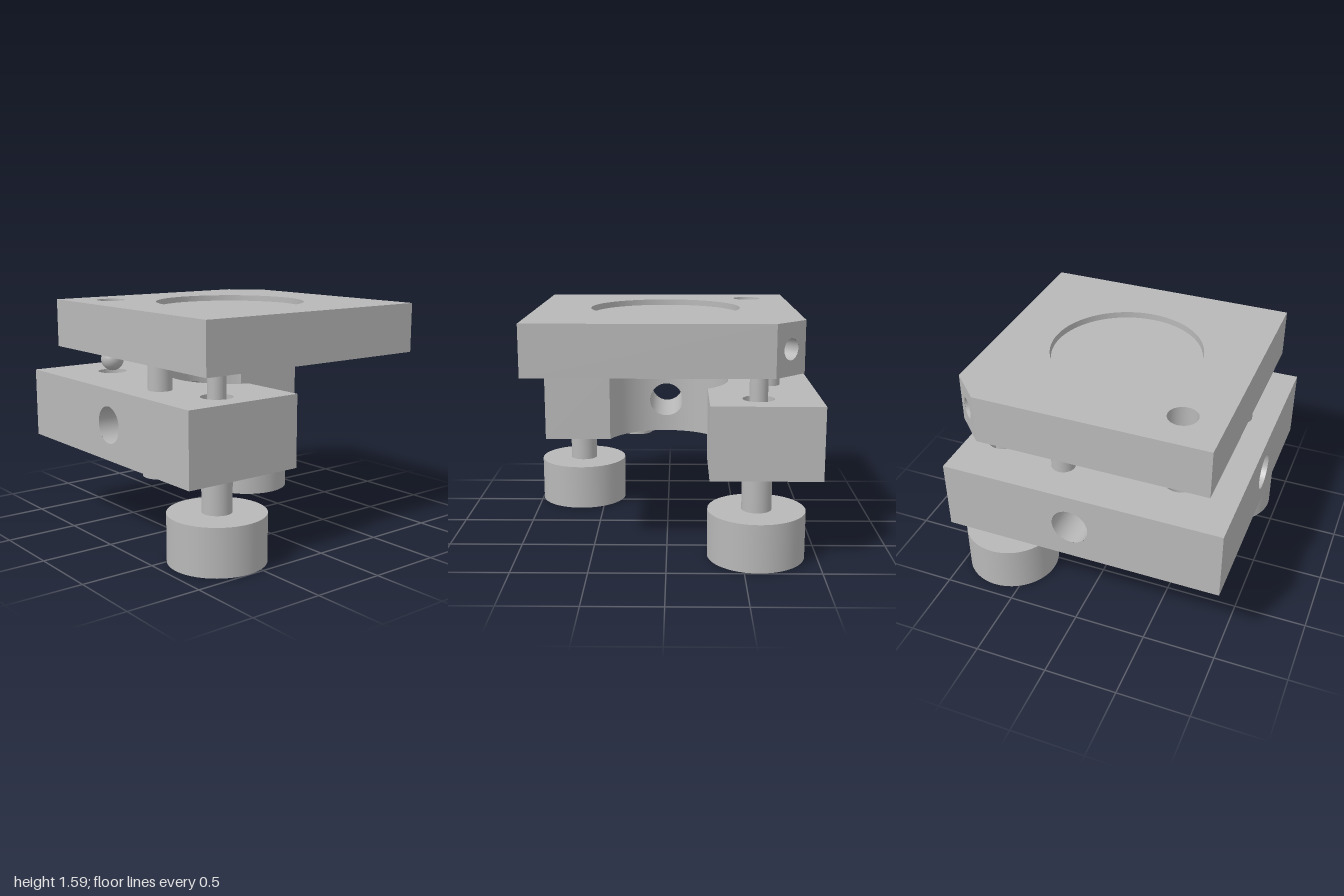
import * as THREE from 'three';
import { mergeGeometries } from 'three/addons/utils/BufferGeometryUtils.js';

const metal = new THREE.MeshStandardMaterial({ color: 0xb8b8b8 });
metal.name = 'metal grey';

const CX = 0.015, CZ = -0.015; // optical axis

function mesh(name, geometry) {
  const m = new THREE.Mesh(geometry, metal);
  m.name = name;
  return m;
}

// Solid upright cylinder between two heights
function rod(name, x, z, r, y0, y1) {
  const g = new THREE.CylinderGeometry(r, r, y1 - y0, 48);
  g.translate(x, (y0 + y1) / 2, z);
  return mesh(name, g);
}

// Inward-facing turned surface; profile runs from top to bottom
function bore(x, z, ...profile) {
  const pts = profile.map(([r, y]) => new THREE.Vector2(r, y));
  return new THREE.LatheGeometry(pts, 64).translate(x, 0, z);
}

// Horizontal face with round holes; side = 1 faces up, -1 faces down
function cap(outline, holes, y, side) {
  const shape = new THREE.Shape(outline.map(([x, z]) => new THREE.Vector2(x, -side * z)));
  for (const [x, z, r] of holes) {
    shape.holes.push(new THREE.Path().absarc(x, -side * z, r, 0, Math.PI * 2, true));
  }
  return new THREE.ShapeGeometry(shape, 32).rotateX(-side * Math.PI / 2).translate(0, y, 0);
}

// Upright flat wall from a to b, with an optional hole in line with the axis
function wall([ax, az], [bx, bz], y0, y1, holeR = 0) {
  const dir = new THREE.Vector3(bx - ax, 0, bz - az), len = dir.length();
  dir.normalize();
  const shape = new THREE.Shape([[0, y0], [len, y0], [len, y1], [0, y1]]
    .map((p) => new THREE.Vector2(...p)));
  if (holeR) {
    const s = (CX - ax) * dir.x + (CZ - az) * dir.z;
    shape.holes.push(new THREE.Path().absarc(s, (y0 + y1) / 2, holeR, 0, Math.PI * 2, true));
  }
  const up = new THREE.Vector3(0, 1, 0);
  const frame = new THREE.Matrix4().makeBasis(dir, up, dir.clone().cross(up));
  return new THREE.ShapeGeometry(shape, 32).applyMatrix4(frame.setPosition(ax, 0, az));
}

function surface(pos, norm, index) {
  const g = new THREE.BufferGeometry();
  g.setAttribute('position', new THREE.Float32BufferAttribute(pos, 3));
  g.setAttribute('normal', new THREE.Float32BufferAttribute(norm, 3));
  g.setAttribute('uv', new THREE.Float32BufferAttribute(new Float32Array(pos.length / 3 * 2), 2));
  g.setIndex(index);
  return g;
}

// Horizontal tunnel from a wall at distance D to the round bore of radius R
function tunnel(dx, dz, D, R, r, y) {
  const pos = [], norm = [], index = [], n = 40;
  for (let i = 0; i <= n; i++) {
    const t = i / n * Math.PI * 2, l = r * Math.cos(t), v = r * Math.sin(t);
    for (const d of [D, Math.sqrt(R * R - l * l)]) {
      pos.push(CX + dx * d + dz * l, y + v, CZ + dz * d - dx * l);
      norm.push(-dz * Math.cos(t), -Math.sin(t), dx * Math.cos(t));
    }
    const k = i * 2;
    if (i < n) index.push(k, k + 2, k + 1, k + 2, k + 3, k + 1);
  }
  return surface(pos, norm, index);
}

// Concave strip around the axis between two height rules
function strip(angles, R, low, high) {
  const pos = [], norm = [], index = [];
  angles.forEach((a, i) => {
    const c = Math.cos(a), s = Math.sin(a);
    pos.push(CX + R * c, low(a), CZ + R * s, CX + R * c, high(a), CZ + R * s);
    norm.push(-c, 0, -s, -c, 0, -s);
    const k = i * 2;
    if (i < angles.length - 1) index.push(k, k + 2, k + 3, k, k + 3, k + 1);
  });
  return surface(pos, norm, index);
}

function frontPlate() {
  const y0 = 1.245, y1 = 1.585;
  const outline = [[-0.88, 0.87], [0.91, 0.87], [0.91, -0.91], [-0.68, -0.91], [-0.88, -0.71]];
  const sight = [-0.595, 0.59, 0.1];
  const parts = [
    cap(outline, [sight, [CX, CZ, 0.52]], y1, 1),
    cap(outline, [sight, [CX, CZ, 0.444]], y0, -1),
    bore(sight[0], sight[1], [0.1, y1], [0.1, y0]),
    bore(CX, CZ, [0.52, y1], [0.52, 1.325]),
    bore(CX, CZ, [0.52, 1.325], [0.444, 1.325]),
    bore(CX, CZ, [0.444, 1.325], [0.444, y0]),
    tunnel(-Math.SQRT1_2, -Math.SQRT1_2, 1.124, 0.52, 0.07, (y0 + y1) / 2),
  ];
  outline.forEach((p, i) => parts.push(wall(p, outline[(i + 1) % 5], y0, y1, i === 3 ? 0.07 : 0)));
  return mesh('topPlate', mergeGeometries(parts));
}

function basePlate(screws) {
  const y0 = 0.585, y1 = 1.07, mid = (y0 + y1) / 2, R = 0.446, r = 0.125;
  const start = Math.atan2(0.165, 0.415), end = Math.atan2(-0.338, -0.29) + Math.PI * 2;
  const half = Math.asin(r / R), parts = [], arc = [];

  // Curved inner wall, opened where the two cross bores break through
  const plain = (a, b) => {
    const angles = Array.from({ length: 11 }, (_, i) => a + (b - a) * i / 10);
    parts.push(strip(angles, R, () => y0, () => y1));
    arc.push(...angles.slice(0, -1));
  };
  const pierced = (c) => {
    const angles = Array.from({ length: 21 },
      (_, i) => c + Math.asin(r / R * Math.sin((i / 20 - 0.5) * Math.PI)));
    const h = (a) => Math.sqrt(Math.max(0, r * r - (R * Math.sin(a - c)) ** 2));
    parts.push(strip(angles, R, () => y0, (a) => mid - h(a)));
    parts.push(strip(angles, R, (a) => mid + h(a), () => y1));
    arc.push(...angles.slice(0, -1));
  };
  plain(start, Math.PI / 2 - half);
  pierced(Math.PI / 2);
  plain(Math.PI / 2 + half, Math.PI - half);
  pierced(Math.PI);
  plain(Math.PI + half, end);
  arc.push(end);

  // L-shaped outline around the curved inner corner
  const curve = arc.map((a) => [CX + R * Math.cos(a), CZ + R * Math.sin(a)]);
  const tail = [[-0.275, -0.91], [-1, -0.91], [-1, 1]];
  const head = [[-1, 1], [0.91, 1], [0.91, 0.15]];
  const outline = [...head, ...curve, ...tail.slice(0, 2)];
  const holes = [[-0.595, 0.59, 0.102], ...screws.map(([x, z]) => [x, z, 0.105])];
  parts.push(cap(outline, holes, y1, 1), cap(outline, holes, y0, -1));
  for (const [x, z, hr] of holes) parts.push(bore(x, z, [hr, y1], [hr, y0]));

  parts.push(
    wall(head[0], head[1], y0, y1, r),
    wall(head[1], head[2], y0, y1),
    wall(head[2], curve[0], y0, y1),
    wall(curve[curve.length - 1], tail[0], y0, y1),
    wall(tail[0], tail[1], y0, y1),
    wall(tail[1], tail[2], y0, y1, r),
    tunnel(0, 1, 1.015, R, r, mid),
    tunnel(-1, 0, 1.015, R, r, mid),
  );
  return mesh('lowerPlate', mergeGeometries(parts));
}

export function createModel() {
  const model = new THREE.Group();
  model.name = 'adjustableMount';
  const screws = [[-0.595, -0.672], [0.672, 0.61]];
  const pins = [[-0.7, -0.18], [0.253, 0.75]];

  model.add(frontPlate(), basePlate(screws));
  model.add(rod('opticDisc', CX, CZ, 0.514, 1.325, 1.545));

  // Adjusting screws with knobs
  for (const [x, z] of screws) {
    const g = new THREE.Group();
    g.name = 'adjustingScrew';
    g.add(rod('knob', x, z, 0.325, 0, 0.325));
    g.add(rod('shaft', x, z, 0.1, 0.325, 0.95));
    g.add(rod('tip', x, z, 0.06, 0.95, 1.245));
    model.add(g);
  }

  // Retaining pins with flat heads
  for (const [x, z] of pins) {
    const g = new THREE.Group();
    g.name = 'retainingPin';
    g.add(rod('pinHead', x, z, 0.121, 0.5, 0.585));
    g.add(rod('pinShank', x, z, 0.08, 0.585, 1.245));
    model.add(g);
  }

  // Pivot ball between the plates
  const ball = new THREE.SphereGeometry(0.082, 40, 24).translate(-0.595, 1.157, 0.59);
  model.add(mesh('pivotBall', ball));
  return model;
}
